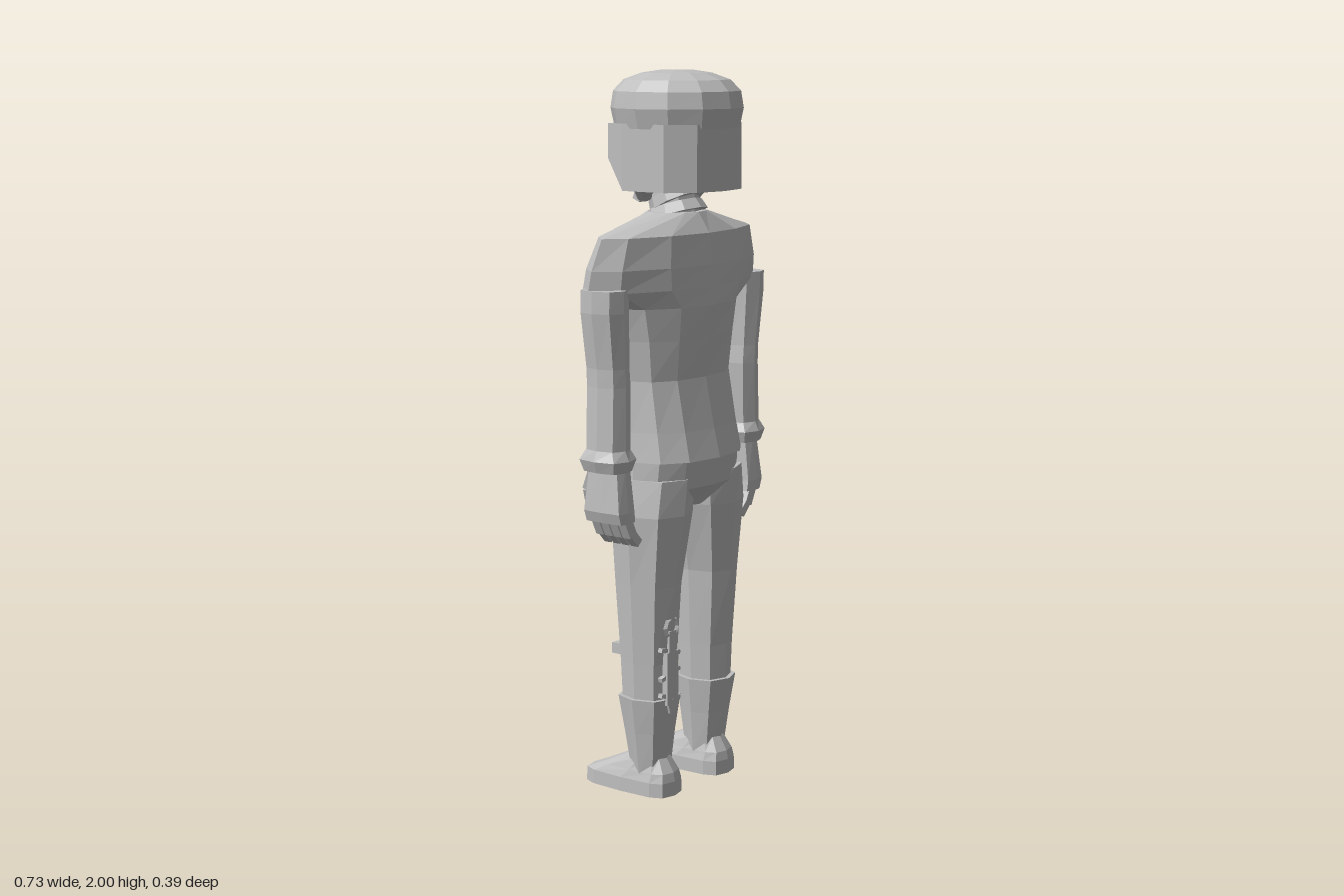
import * as THREE from 'three';

const grey = new THREE.MeshStandardMaterial({ color: 0xbfbfbf, flatShading: true, side: THREE.DoubleSide });
grey.name = 'plain grey';

// Closed loft through rings [y, cx, cz, rx, rz, power], listed from the bottom up
function loft(rings, sides) {
  const pos = [], idx = [];
  for (const [y, cx, cz, rx, rz, e = 1] of rings) {
    for (let i = 0; i < sides; i++) {
      const a = (i / sides) * Math.PI * 2, c = Math.cos(a), s = Math.sin(a);
      pos.push(cx + rx * Math.sign(c) * Math.abs(c) ** e, y, cz + rz * Math.sign(s) * Math.abs(s) ** e);
    }
  }
  const last = (rings.length - 1) * sides, bottom = rings.length * sides, top = bottom + 1;
  for (const r of [rings[0], rings[rings.length - 1]]) pos.push(r[1], r[0], r[2]);
  for (let i = 0; i < sides; i++) {
    const j = (i + 1) % sides;
    for (let k = 0; k < last; k += sides) {
      idx.push(k + j, k + i, k + sides + i, k + j, k + sides + i, k + sides + j);
    }
    idx.push(bottom, i, j, top, last + j, last + i);
  }
  return build(pos, idx);
}

function build(pos, idx) {
  const g = new THREE.BufferGeometry();
  g.setAttribute('position', new THREE.Float32BufferAttribute(pos, 3));
  g.setIndex(idx);
  const flat = g.toNonIndexed();
  flat.computeVertexNormals();
  return flat;
}

export function createModel() {
  const model = new THREE.Group();
  model.name = 'standingFigure';

  function add(name, geometry, p = [0, 0, 0], r = [0, 0, 0], parent = model) {
    const m = new THREE.Mesh(geometry, grey);
    m.name = name;
    m.position.set(...p);
    m.rotation.set(...r);
    parent.add(m);
    return m;
  }
  const box = (w, h, d) => new THREE.BoxGeometry(w, h, d);

  // Sweater with broad sloping shoulders
  add('sweater', loft([
    [0.95, 0, 0.017, 0.208, 0.143, 0.85], [1.03, 0, 0.008, 0.202, 0.132, 0.85],
    [1.17, 0, -0.005, 0.198, 0.115, 0.85], [1.28, 0, -0.01, 0.215, 0.135, 0.9],
    [1.37, 0, -0.014, 0.24, 0.153, 1], [1.42, 0, -0.013, 0.355, 0.15, 1.2],
    [1.48, 0, -0.005, 0.35, 0.138, 1.15], [1.565, 0, 0.008, 0.322, 0.113, 1.15],
    [1.62, 0, 0.01, 0.095, 0.075]], 12));

  // Hips
  add('hips', loft([
    [0.81, 0, 0.015, 0.06, 0.075], [0.87, 0, 0.015, 0.205, 0.12, 0.85],
    [0.96, 0, 0.018, 0.203, 0.13, 0.85]], 12));

  for (const s of [1, -1]) {
    const side = s > 0 ? 'left' : 'right';
    const limb = (name, rings, n) =>
      add(side + name, loft(rings.map(([y, x, ...rest]) => [y, x * s, ...rest]), n));

    // Leg, boot shaft and shoe
    limb('Leg', [
      [0.25, 0.13, 0.013, 0.066, 0.072, 0.85], [0.38, 0.13, 0.012, 0.07, 0.078, 0.85],
      [0.6, 0.131, 0.012, 0.08, 0.093, 0.85], [0.8, 0.119, 0.015, 0.106, 0.113, 0.9],
      [0.9, 0.11, 0.016, 0.1, 0.115, 0.9]], 8);
    limb('BootShaft', [
      [0.06, 0.125, 0.015, 0.055, 0.05, 0.85], [0.18, 0.128, 0.014, 0.067, 0.068, 0.85],
      [0.28, 0.13, 0.014, 0.08, 0.085, 0.85]], 8);
    limb('Shoe', [
      [0, 0.125, -0.047, 0.064, 0.148, 0.55], [0.04, 0.125, -0.046, 0.063, 0.146, 0.55],
      [0.065, 0.125, -0.02, 0.056, 0.115, 0.6], [0.105, 0.125, 0.01, 0.045, 0.06, 0.8]], 12);

    // Sleeve and flared cuff
    limb('Sleeve', [
      [0.96, 0.297, 0.006, 0.05, 0.06, 0.8], [1.17, 0.292, 0.005, 0.048, 0.06, 0.8],
      [1.22, 0.295, 0.005, 0.046, 0.06, 0.8], [1.37, 0.307, 0.005, 0.056, 0.066, 0.85],
      [1.43, 0.308, 0.006, 0.055, 0.066, 0.85]], 8);
    limb('Cuff', [
      [0.94, 0.297, 0.005, 0.048, 0.063, 0.6], [0.972, 0.297, 0.005, 0.06, 0.073, 0.6],
      [1.0, 0.297, 0.005, 0.05, 0.06, 0.8]], 8);

    // Hand with curled fingers and a thumb
    const hand = new THREE.Group();
    hand.name = side + 'Hand';
    model.add(hand);
    add('palm', loft([
      [0.8, 0.288 * s, 0.007, 0.034, 0.066, 0.3], [0.83, 0.295 * s, 0.007, 0.037, 0.067, 0.3],
      [0.95, 0.292 * s, 0.006, 0.032, 0.055, 0.4]], 8), undefined, undefined, hand);
    for (let i = 0; i < 4; i++) {
      const z = 0.054 - i * 0.031;
      add('finger', box(0.03, 0.05, 0.026), [0.276 * s, 0.785, z], [0, 0, -0.45 * s], hand);
      add('fingertip', box(0.024, 0.045, 0.024), [0.251 * s, 0.753, z], [0, 0, -0.75 * s], hand);
    }
    add('thumb', box(0.034, 0.06, 0.034), [0.272 * s, 0.9, -0.066], [0.5, 0, -0.2 * s], hand);
    add('thumbTip', box(0.028, 0.055, 0.028), [0.258 * s, 0.85, -0.085], [0.1, 0, -0.35 * s], hand);

    // Facial features in mirrored pairs
    add(side + 'Eye', box(0.032, 0.014, 0.012), [0.043 * s, 1.785, -0.125], [0, 0.25 * s, 0]);
    add(side + 'Brow', box(0.06, 0.014, 0.02), [0.044 * s, 1.808, -0.128], [0, 0.25 * s, 0.18 * s]);
    add(side + 'Moustache', box(0.05, 0.016, 0.02), [0.024 * s, 1.717, -0.128], [0, 0.2 * s, -0.3 * s]);
  }

  // Neck and tilted collar
  add('neck', new THREE.CylinderGeometry(0.06, 0.07, 0.16, 8), [0, 1.66, 0.005]);
  add('upperCollar', new THREE.CylinderGeometry(0.073, 0.078, 0.03, 10), [0, 1.655, 0.005], [-0.45, 0, 0]);
  add('lowerCollar', new THREE.CylinderGeometry(0.076, 0.088, 0.03, 10), [0, 1.622, 0.005], [-0.3, 0, 0]);

  // Head, nose, mouth and chin
  add('head', loft([
    [1.645, 0, -0.085, 0.03, 0.035], [1.67, 0, -0.065, 0.06, 0.06], [1.71, 0, -0.04, 0.09, 0.082],
    [1.77, 0, -0.02, 0.118, 0.105], [1.86, 0, -0.01, 0.135, 0.12]], 12));
  add('nose', new THREE.CylinderGeometry(0.008, 0.022, 0.07, 4), [0, 1.758, -0.132], [0.25, 0, 0]);
  add('mouth', box(0.05, 0.012, 0.014), [0, 1.694, -0.12]);
  add('chin', box(0.04, 0.025, 0.025), [0, 1.655, -0.113], [0.4, 0, 0]);

  // Rounded cap
  add('cap', loft([
    [1.847, 0, 0.01, 0.172, 0.172], [1.9, 0, 0.01, 0.184, 0.182], [1.945, 0, 0.01, 0.178, 0.174],
    [1.975, 0, 0.01, 0.15, 0.145], [1.993, 0, 0.01, 0.1, 0.095], [2, 0, 0.01, 0.05, 0.05]], 12));

  // Neck flap hanging around the back and sides of the cap
  const half = [[0, 0.172, 1.68], [0.1, 0.155, 1.68], [0.162, 0.09, 1.68], [0.163, -0.05, 1.68], [0.155, -0.105, 1.765]];
  const path = [...half.slice(1).reverse().map(([x, z, y]) => [-x, z, y]), ...half];
  const pos = [], idx = [];
  path.forEach(([x, z, y], i) => {
    pos.push(x, y, z, x, 1.86, z);
    if (i) idx.push(2 * i - 2, 2 * i, 2 * i + 1, 2 * i - 2, 2 * i + 1, 2 * i - 1);
  });
  add('neckFlap', build(pos, idx));

  // Sheath strapped to one calf, with a ring, wrappings and a stud
  const sheath = new THREE.Group();
  sheath.name = 'calfSheath';
  sheath.position.set(-0.13, 0, 0.088);
  model.add(sheath);
  add('sheathBody', box(0.05, 0.15, 0.018), [0, 0.34, 0], undefined, sheath);
  add('sheathTip', box(0.04, 0.03, 0.016), [0.004, 0.26, 0], [0, 0, 0.3], sheath);
  add('handle', box(0.03, 0.06, 0.018), [0, 0.445, 0], undefined, sheath);
  add('ring', new THREE.TorusGeometry(0.026, 0.007, 4, 8), [0, 0.485, 0.002], undefined, sheath);
  for (let i = 0; i < 3; i++) {
    add('wrapping', box(0.085, 0.012, 0.014), [0, 0.285 + i * 0.065, -0.004], [0, 0, i % 2 ? 0.25 : -0.25], sheath);
  }
  add('stud', box(0.025, 0.03, 0.03), [-0.165, 0.408, -0.066]);

  return model;
}
